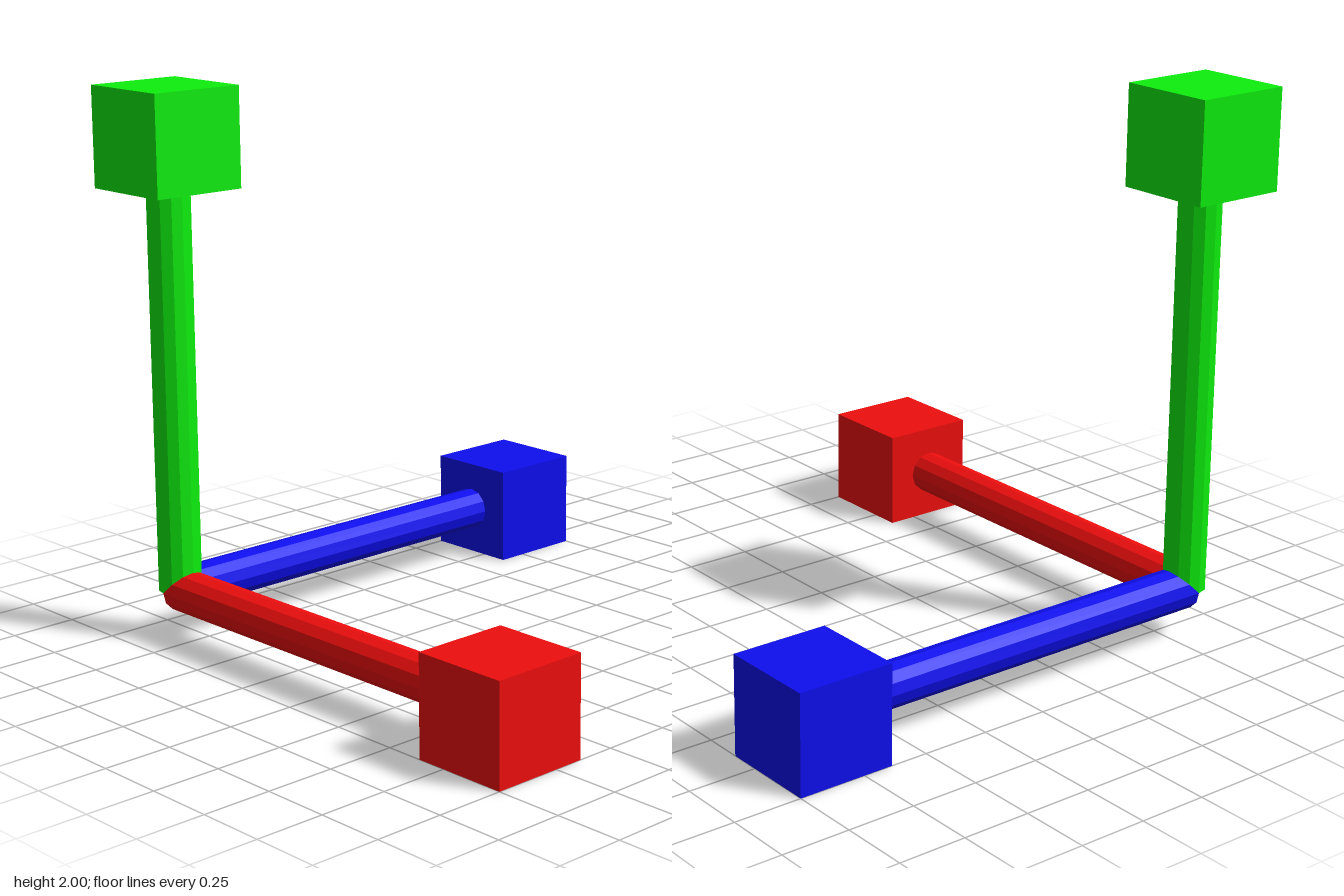
import * as THREE from 'three';

const CUBE = 0.36;          // edge of each end cube
const ROD_RADIUS = 0.078;
const REACH = 1.64;         // corner to cube centre

// One arm along +y: a faceted rod starting at the corner, with a cube at its tip
function makeArm(name, color) {
  const arm = new THREE.Group();
  arm.name = name + 'Arm';
  const material = new THREE.MeshStandardMaterial({ color, flatShading: true });

  const length = REACH - CUBE / 2;
  const rod = new THREE.Mesh(new THREE.CylinderGeometry(ROD_RADIUS, ROD_RADIUS, length, 12), material);
  rod.name = name + 'Rod';
  rod.position.y = length / 2;

  const cube = new THREE.Mesh(new THREE.BoxGeometry(CUBE, CUBE, CUBE), material);
  cube.name = name + 'Cube';
  cube.position.y = REACH;

  arm.add(rod, cube);
  return arm;
}

export function createModel() {
  const model = new THREE.Group();
  model.name = 'axisGizmo';

  // Three arms meeting at one corner: sideways, upward and backward
  const sideways = makeArm('sideways', 0xee0e0e);
  sideways.rotation.z = -Math.PI / 2;
  const upward = makeArm('upward', 0x0eee0e);
  const backward = makeArm('backward', 0x0e0eee);
  backward.rotation.x = -Math.PI / 2;

  for (const arm of [sideways, upward, backward]) {
    arm.position.set(-0.82, 0.18, 0.82);
    model.add(arm);
  }
  return model;
}
